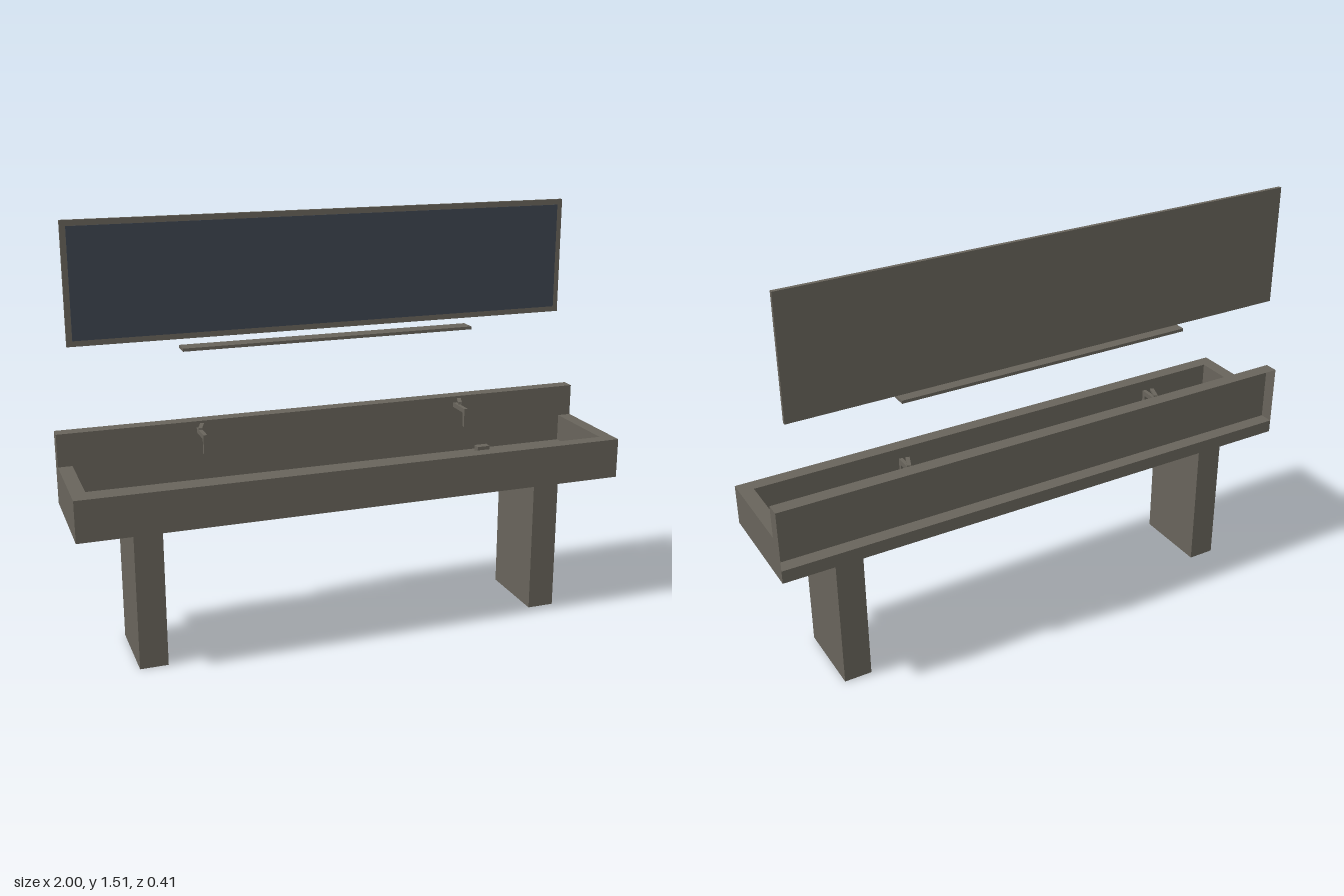
import * as THREE from 'three';

export function createModel() {
  const model = new THREE.Group();
  const stone = new THREE.MeshStandardMaterial({ color: 0x68645b });
  stone.name = 'warm grey';
  stone.side = THREE.DoubleSide;
  const glass = new THREE.MeshStandardMaterial({ color: 0x3e4650 });
  glass.name = 'mirror blue grey';

  // Box from its min and max corners; `open` is the index of a face to leave out
  // (0 +x, 1 -x, 2 +y, 3 -y, 4 +z, 5 -z)
  function box(name, [x0, y0, z0], [x1, y1, z1], { parent = model, material = stone, open = -1 } = {}) {
    const geometry = new THREE.BoxGeometry(x1 - x0, y1 - y0, z1 - z0);
    if (open >= 0) {
      const index = Array.from(geometry.index.array);
      index.splice(open * 6, 6);
      geometry.setIndex(index);
      geometry.clearGroups();
    }
    const mesh = new THREE.Mesh(geometry, material);
    mesh.name = name;
    mesh.position.set((x0 + x1) / 2, (y0 + y1) / 2, (z0 + z1) / 2);
    parent.add(mesh);
    return mesh;
  }

  // Trough basin: floor slab, front wall, two end walls
  const basin = new THREE.Group();
  basin.name = 'basin';
  model.add(basin);
  const bottom = 0.52, floor = 0.567, rim = 0.667, front = 0.207, back = -0.157;
  box('basinFloor', [-1, bottom, -front], [1, floor, front], { parent: basin });
  box('basinFrontWall', [-1, floor, 0.157], [1, rim, front], { parent: basin });
  for (const s of [-1, 1]) {
    box('basinEndWall', [s * 0.975 - 0.025, floor, back], [s * 0.975 + 0.025, rim, 0.157], { parent: basin });
  }

  // Backsplash, hollow towards the wall
  box('backsplash', [-1, floor, -front], [1, 0.785, back], { open: 5 });

  for (const s of [-1, 1]) {
    // Leg, hollow and open at the floor
    box('leg', [s * 0.75 - 0.05, 0, -0.157], [s * 0.75 + 0.05, bottom, 0.128], { open: 3 });

    // Tap: spout, downturned outlet and turned lever
    const tap = new THREE.Group();
    tap.name = 'tap';
    tap.position.x = s * 0.5;
    model.add(tap);
    box('tapSpout', [-0.007, 0.744, back], [0.007, 0.761, -0.07], { parent: tap });
    box('tapOutlet', [-0.007, 0.692, -0.07], [0.007, 0.761, -0.056], { parent: tap });
    const lever = box('tapLever', [-0.007, 0.772, -0.145], [0.007, 0.78, -0.087], { parent: tap });
    lever.rotation.y = -0.35;
  }

  // Soap block on the basin floor
  box('soap', [0.57, floor, -0.12], [0.62, 0.594, -0.09]);

  // Shelf and framed mirror
  box('shelf', [-0.55, 1.046, -0.2], [0.55, 1.057, -0.136]);
  box('mirrorFrame', [-0.94, 1.08, -0.203], [0.94, 1.51, -0.19]);
  box('mirrorGlass', [-0.92, 1.1, -0.19], [0.92, 1.49, -0.188], { material: glass });

  return model;
}
